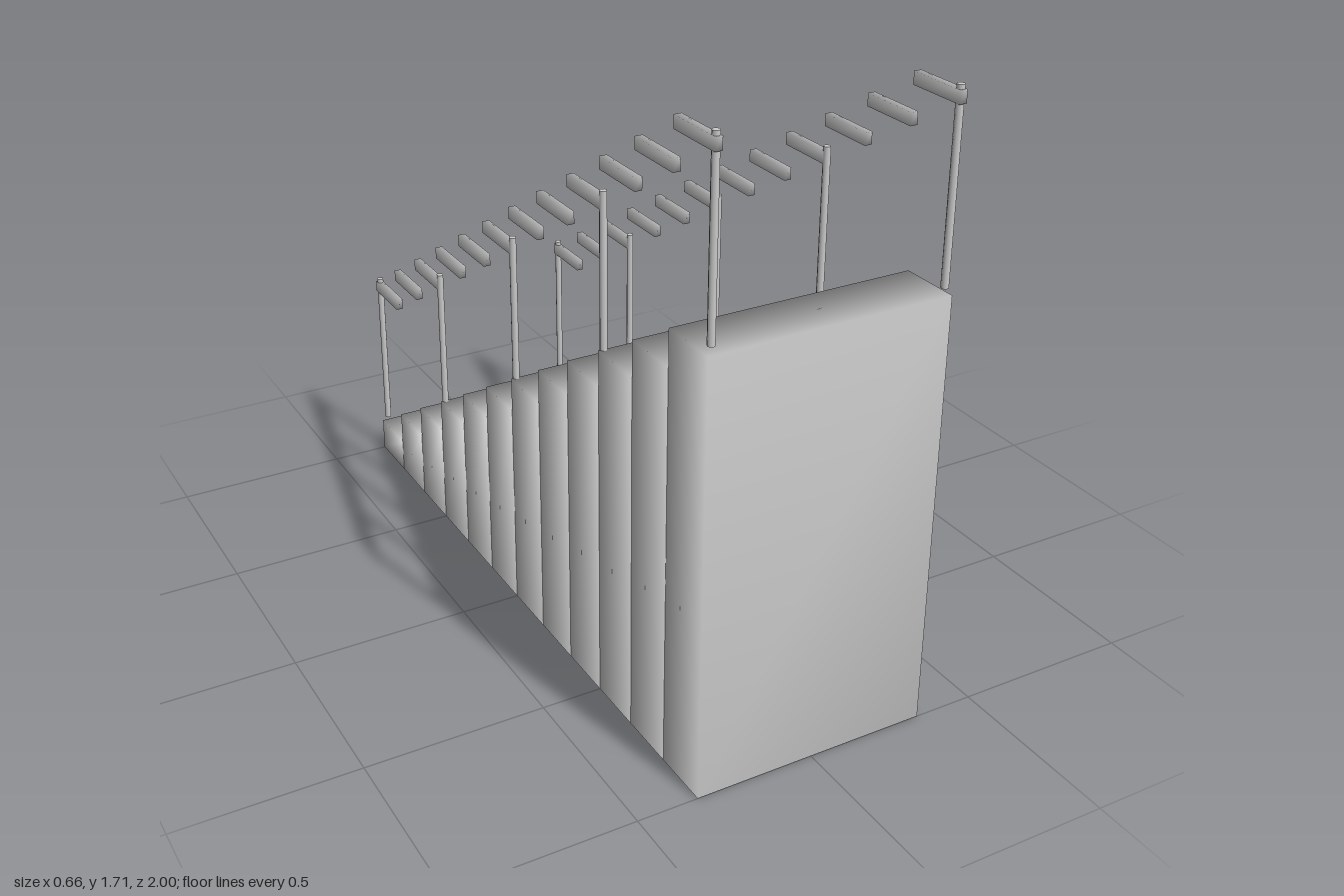
import * as THREE from 'three';
import { mergeVertices } from 'three/addons/utils/BufferGeometryUtils.js';

const STEPS = 12, RISE = 0.0998, RUN = 2 / STEPS, WIDTH = 0.664, RAIL_X = 0.317;

// Box whose corners share one averaged normal, for soft shading across edges
function softBox(w, h, d) {
  const box = new THREE.BoxGeometry(w, h, d);
  box.deleteAttribute('normal');
  box.deleteAttribute('uv');
  const geometry = mergeVertices(box);
  geometry.computeVertexNormals();
  return geometry;
}

export function createModel() {
  const model = new THREE.Group();
  model.name = 'staircase';
  const material = new THREE.MeshStandardMaterial({ color: 0xcccccc });

  function add(parent, name, geometry, x, y, z) {
    const mesh = new THREE.Mesh(geometry, material);
    mesh.name = name;
    mesh.position.set(x, y, z);
    parent.add(mesh);
  }

  // Solid steps, each a full-height block, climbing towards the front
  const steps = new THREE.Group();
  steps.name = 'steps';
  model.add(steps);
  for (let i = 0; i < STEPS; i++) {
    const h = RISE * (i + 1);
    add(steps, `step${i + 1}`, softBox(WIDTH, h, RUN), 0, h / 2, -1 + RUN * (i + 0.5));
  }

  // Posts given as [z, base height]
  const posts = [[-0.988, 0.118], [-0.5, 0.319], [0, 0.618], [0.5, 0.918], [0.988, 1.216]];
  const postHeight = 0.493;
  const postGeometry = new THREE.CylinderGeometry(0.01, 0.01, postHeight, 8);
  const railGeometry = softBox(0.02, 0.033, RUN);

  // Matching handrails: one short level bar above every step
  for (const side of [1, -1]) {
    const rail = new THREE.Group();
    rail.name = side > 0 ? 'leftHandrail' : 'rightHandrail';
    model.add(rail);
    for (const [z, base] of posts) {
      add(rail, 'post', postGeometry, side * RAIL_X, base + postHeight / 2, z);
    }
    for (let i = 0; i < STEPS; i++) {
      add(rail, 'railBar', railGeometry, side * RAIL_X, 0.583 + RISE * i, -1 + RUN * (i + 0.5));
    }
  }
  return model;
}
